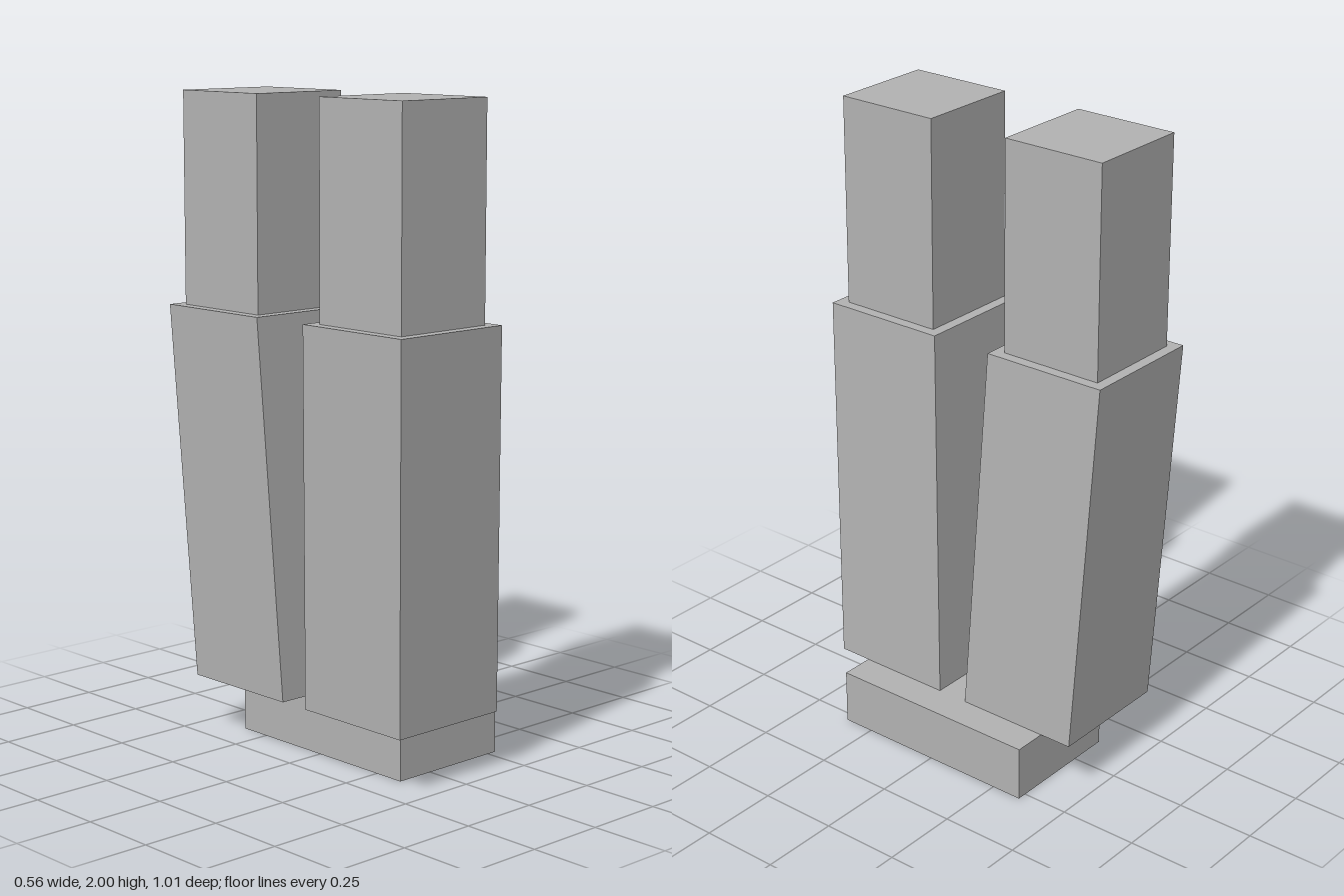
import * as THREE from 'three';

const SIDE = 0.405;
const BASE_TOP = 0.175;
const SHAFT_TOP = 1.35;

// Box placed by its centre in plan and its bottom and top heights
function block(name, material, [w, d], [x, z], y0, y1) {
  const geometry = new THREE.BoxGeometry(w, y1 - y0, d);
  geometry.translate(x, (y0 + y1) / 2, z);
  const mesh = new THREE.Mesh(geometry, material);
  mesh.name = name;
  return mesh;
}

// Slide each level of a box sideways in proportion to its height
function lean(mesh, y0, y1, dx, dz) {
  const p = mesh.geometry.attributes.position;
  for (let i = 0; i < p.count; i++) {
    const t = (p.getY(i) - y0) / (y1 - y0);
    p.setX(i, p.getX(i) + dx * t);
    p.setZ(i, p.getZ(i) + dz * t);
  }
  mesh.geometry.computeVertexNormals();
  return mesh;
}

export function createModel() {
  const model = new THREE.Group();
  model.name = 'twinTowers';
  const grey = new THREE.MeshStandardMaterial({ color: 0xb2b2b2 });
  grey.name = 'grey';

  // Low shared plinth, set towards +x
  model.add(block('base', grey, [SIDE, 0.7], [0.078, 0], 0, BASE_TOP));

  // Two leaning shafts with upright square tops, mirrored across z
  for (const s of [1, -1]) {
    const tower = new THREE.Group();
    tower.name = s > 0 ? 'frontTower' : 'backTower';
    const shaft = block('leaningShaft', grey, [SIDE, SIDE], [-0.028, s * 0.253], BASE_TOP, SHAFT_TOP);
    tower.add(lean(shaft, BASE_TOP, SHAFT_TOP, -0.05, s * 0.05));
    tower.add(block('upperBlock', grey, [0.336, 0.336], [-0.078, s * 0.303], SHAFT_TOP, 2));
    model.add(tower);
  }
  return model;
}
